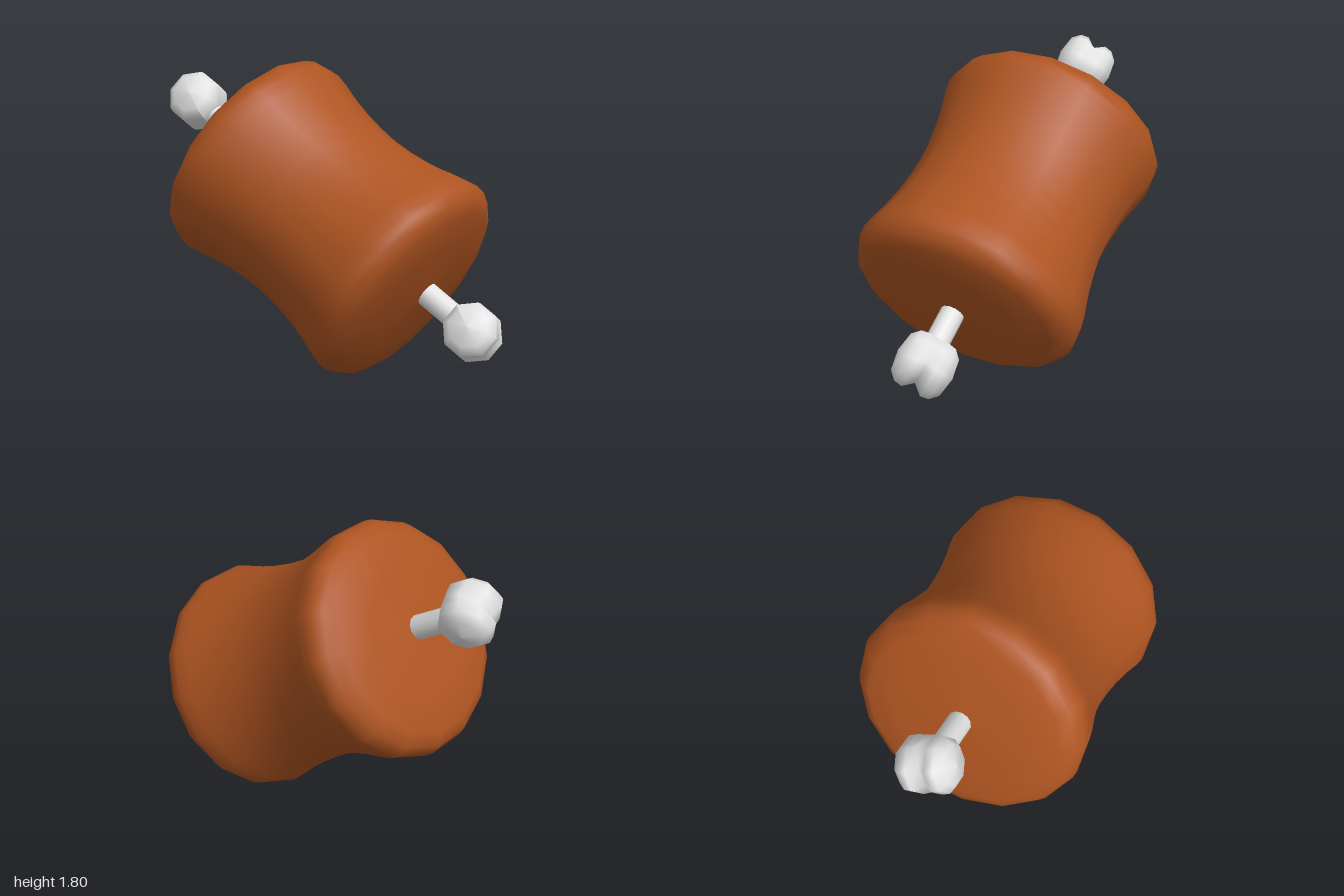
import * as THREE from 'three';

const lathe = (pts, sides, phase) =>
  new THREE.LatheGeometry(pts.map(([r, y]) => new THREE.Vector2(r, y)), sides, phase);

// Full profile from one half, mirrored about its middle point
const mirrored = (half, middle) =>
  [...half.map(([r, y]) => [r, -y]).reverse(), [middle, 0], ...half];

export function createModel() {
  const model = new THREE.Group();
  model.name = 'meatOnBone';
  const meatMat = new THREE.MeshStandardMaterial({ name: 'roast brown', color: 0xae5421 });
  const boneMat = new THREE.MeshStandardMaterial({ name: 'bone white', color: 0xe2e2e2 });

  // Tilted frame: local y runs along the bone, local x stays level
  const axis = new THREE.Vector3(0.5, -0.5, 0.707).normalize();
  const side = new THREE.Vector3(0.816, 0, -0.577).normalize();
  const depth = new THREE.Vector3().crossVectors(side, axis);
  const tilt = new THREE.Quaternion().setFromRotationMatrix(
    new THREE.Matrix4().makeBasis(side, axis, depth));

  // Meat: softly waisted drum with rounded rims
  const meatGeo = lathe(mirrored([
    [0.601, 0.12], [0.618, 0.25], [0.645, 0.38], [0.677, 0.49], [0.695, 0.57],
    [0.69, 0.63], [0.655, 0.69], [0.58, 0.735], [0.38, 0.768], [0, 0.785],
  ], 0.595), 16, Math.PI / 16);
  // Slightly wider sideways, most of all at the waist
  const pos = meatGeo.attributes.position;
  for (let i = 0; i < pos.count; i++) {
    const t = pos.getY(i) / 0.57;
    pos.setX(i, pos.getX(i) * (1.02 + 0.03 * Math.max(0, 1 - t * t)));
  }
  const meat = new THREE.Mesh(meatGeo, meatMat);
  meat.name = 'meat';
  meat.position.y = 0.915;
  meat.quaternion.copy(tilt);
  model.add(meat);

  // Bone: shaft through the meat with a two-lobed knob at each end
  const bone = new THREE.Group();
  bone.name = 'bone';
  bone.position.y = 0.945;
  bone.quaternion.copy(tilt);
  const shaft = new THREE.Mesh(new THREE.CylinderGeometry(0.072, 0.072, 2.2, 12), boneMat);
  shaft.name = 'boneShaft';
  bone.add(shaft);

  const knobGeo = lathe(mirrored(
    [[0.168, 0.06], [0.16, 0.11], [0.115, 0.155], [0, 0.175]], 0.168), 8, Math.PI * 5 / 8);
  knobGeo.rotateZ(-Math.PI / 2);
  // Cleft between the lobes, only on the outward side
  const kp = knobGeo.attributes.position;
  for (let i = 0; i < kp.count; i++) {
    if (Math.abs(kp.getX(i)) < 0.01) kp.setY(i, Math.min(kp.getY(i), kp.getY(i) * 0.65));
  }
  knobGeo.computeVertexNormals();
  for (const s of [1, -1]) {
    const knob = new THREE.Mesh(knobGeo, boneMat);
    knob.name = s > 0 ? 'frontKnob' : 'backKnob';
    knob.position.y = s * 1.155;
    knob.rotation.set(s > 0 ? 0 : Math.PI, -0.55, 0, 'YXZ');
    bone.add(knob);
  }
  model.add(bone);
  return model;
}
